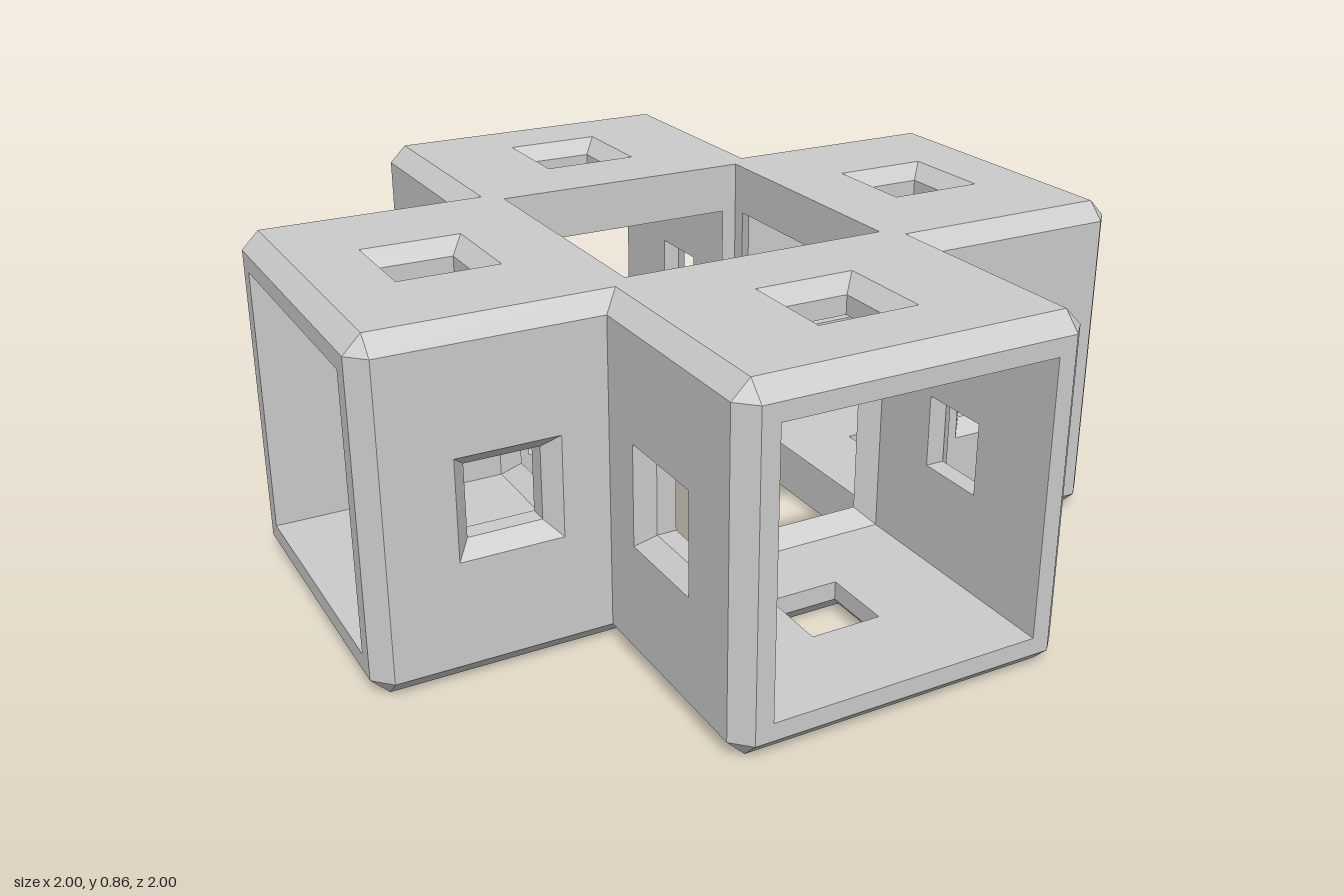
import * as THREE from 'three';
import { mergeGeometries } from 'three/addons/utils/BufferGeometryUtils.js';

const H = 0.4275;        // half width of an arm
const B = 0.384;         // flat half width inside the edge chamfers
const I = 0.34;          // half width of the hollow
const N = 0.30;          // half width of the opening into the core
const E = 1, F = 0.957;  // end of an arm, start of its end chamfer
const C = 0.667;         // centre of the windows along an arm
const W = 0.125, V = 0.09; // window half width outside and inside

const material = new THREE.MeshStandardMaterial({ color: 0xcccccc, flatShading: true });

// Convex polygon, corners counter-clockwise as seen from its front
function poly(points, flip = false) {
  const p = flip ? [...points].reverse() : points;
  const out = [];
  for (let i = 1; i < p.length - 1; i++) out.push(...p[0], ...p[i], ...p[i + 1]);
  const g = new THREE.BufferGeometry();
  g.setAttribute('position', new THREE.Float32BufferAttribute(out, 3));
  g.computeVertexNormals();
  return g;
}

// Flat panel in xy with a square hole
function panel(points, half, cy = 0) {
  const s = new THREE.Shape(points.map(([x, y]) => new THREE.Vector2(x, y)));
  s.holes.push(new THREE.Path([[-1, -1], [-1, 1], [1, 1], [1, -1]]
    .map(([x, y]) => new THREE.Vector2(x * half, cy + y * half))));
  const g = new THREE.ShapeGeometry(s).toNonIndexed();
  g.deleteAttribute('uv');
  return g;
}

const rect = (x, y0, y1) => [[-x, y0], [x, y0], [x, y1], [-x, y1]];
const facingUp = (g, y) => g.rotateX(-Math.PI / 2).rotateY(Math.PI).translate(0, y, 0);
const facingDown = (g, y) => g.rotateX(Math.PI / 2).translate(0, y, 0);

// Window lining in the top wall: bevel outside, straight inside
function lining() {
  const rings = [[W, H], [V, H - 0.04], [V, I]];
  const parts = [];
  for (let r = 0; r < 2; r++) {
    const [a, ya] = rings[r], [b, yb] = rings[r + 1];
    for (let k = 0; k < 4; k++) {
      parts.push(poly([[-a, ya, -a], [-b, yb, -b], [b, yb, -b], [a, ya, -a]])
        .rotateY(k * Math.PI / 2).translate(0, 0, C));
    }
  }
  return mergeGeometries(parts);
}

// One wall of an arm; top and bottom walls reach in to the core hole
function wall(reachesCore) {
  const outline = reachesCore
    ? [[-I, I], [I, I], [B, B], [B, F], [-B, F], [-B, B]]
    : rect(B, H, F);
  return mergeGeometries([
    facingUp(panel(outline, W, C), H),
    facingDown(panel(rect(I, B, E), V, C), I),
    lining(),
  ]);
}

function addMesh(group, name, geometry) {
  const mesh = new THREE.Mesh(geometry, material);
  mesh.name = name;
  group.add(mesh);
}

function createArm() {
  const arm = new THREE.Group();
  const names = ['topWall', 'rightWall', 'bottomWall', 'leftWall'];
  const endChamfers = [], funnel = [], edges = [];

  for (let k = 0; k < 4; k++) {
    const turn = k * Math.PI / 2;
    addMesh(arm, names[k], wall(k % 2 === 0).rotateZ(turn));
    endChamfers.push(poly([[-B, H, F], [-B, B, E], [B, B, E], [B, H, F]]).rotateZ(turn));
    // Bevelled opening from the hollow into the core
    funnel.push(poly([[-I, I, B], [-N, N, I], [N, N, I], [I, I, B]], true).rotateZ(turn));
  }

  // Long edge chamfers and the corner facets, mirrored to all four edges
  for (const sx of [1, -1]) for (const sy of [1, -1]) {
    const mirror = pts => pts.map(([x, y, z]) => [x * sx, y * sy, z]);
    const flip = sx * sy < 0;
    edges.push(poly(mirror([[B, H, B], [B, H, F], [H, B, F], [H, B, H]]), flip));
    edges.push(poly(mirror([[B, H, F], [B, B, E], [H, B, F]]), flip));
  }

  addMesh(arm, 'endFrame', mergeGeometries([panel(rect(B, -B, B), I).translate(0, 0, E), ...endChamfers]));
  addMesh(arm, 'edgeChamfers', mergeGeometries(edges));
  for (const g of funnel) orientInward(g);
  addMesh(arm, 'coreOpening', mergeGeometries([
    panel(rect(I, -H, H), N).rotateY(Math.PI).translate(0, 0, I), ...funnel]));
  return arm;
}

// Make a facet face the axis of the arm
function orientInward(g) {
  const p = g.attributes.position, n = g.attributes.normal;
  if (p.getX(0) * n.getX(0) + p.getY(0) * n.getY(0) <= 0) return;
  for (let i = 0; i < p.count; i += 3) {
    const a = new THREE.Vector3().fromBufferAttribute(p, i + 1);
    p.setXYZ(i + 1, p.getX(i + 2), p.getY(i + 2), p.getZ(i + 2));
    p.setXYZ(i + 2, a.x, a.y, a.z);
  }
  g.computeVertexNormals();
}

export function createModel() {
  const model = new THREE.Group();
  model.name = 'hollowCross';
  ['frontArm', 'leftArm', 'backArm', 'rightArm'].forEach((name, k) => {
    const arm = createArm();
    arm.name = name;
    arm.rotation.y = k * Math.PI / 2;
    arm.position.y = H;
    model.add(arm);
  });
  return model;
}
